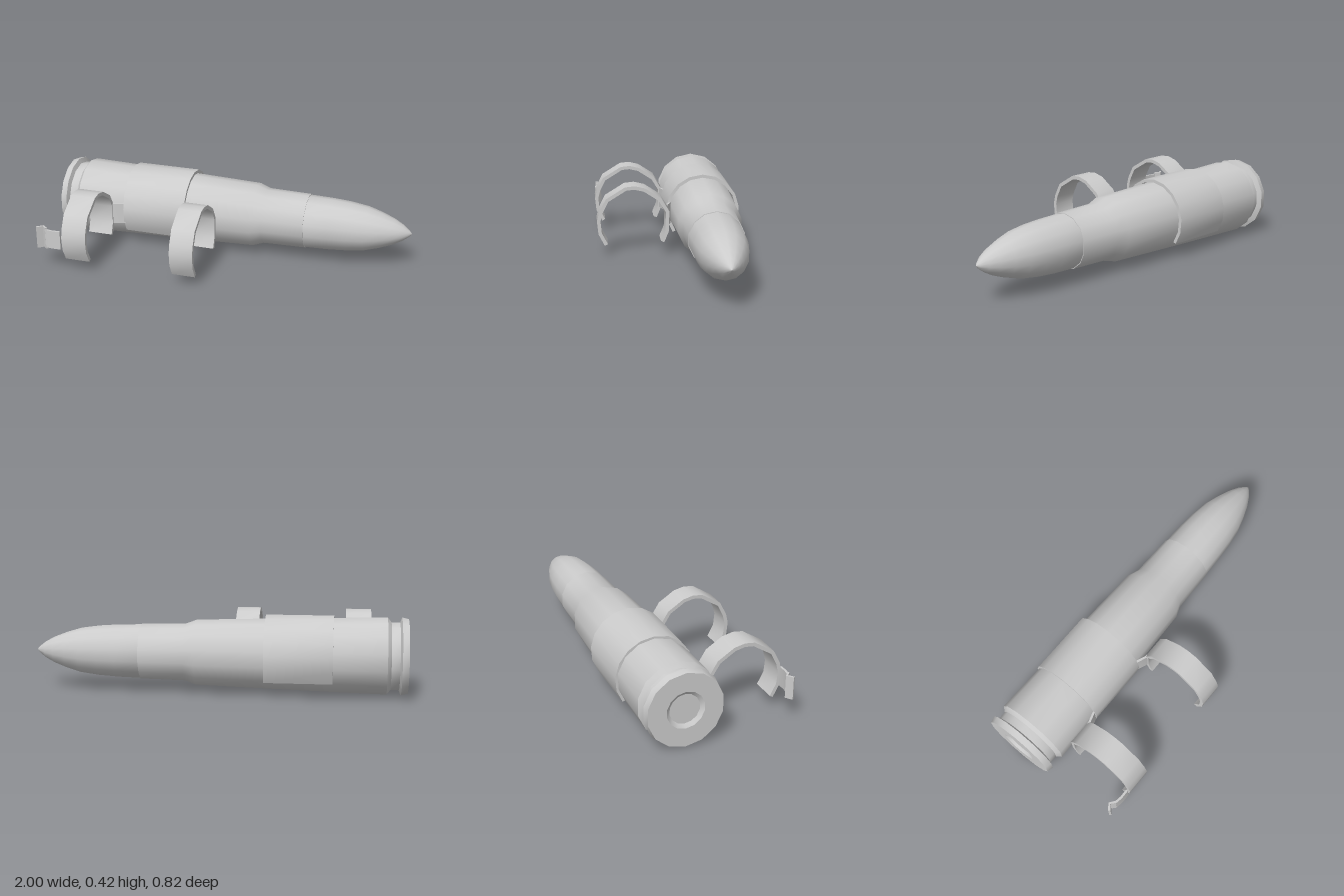
import * as THREE from 'three';
import { toCreasedNormals } from 'three/addons/utils/BufferGeometryUtils.js';

const AXIS_Y = 0.208, AXIS_Z = -0.205, SIDES = 14;
const material = new THREE.MeshStandardMaterial({ color: 0xcccccc, side: THREE.DoubleSide });

function part(name, geometry, crease = 0.6) {
  const mesh = new THREE.Mesh(toCreasedNormals(geometry, crease), material);
  mesh.name = name;
  return mesh;
}

// Turned part along x from [x, radius] pairs
function turned(name, profile) {
  const g = new THREE.LatheGeometry(profile.map(([x, r]) => new THREE.Vector2(r, x)), SIDES);
  g.rotateZ(-Math.PI / 2);
  g.rotateX(Math.PI / SIDES);
  g.translate(0, AXIS_Y, AXIS_Z);
  return part(name, g);
}

// Closed outline of a polyline given a thickness
function bandShape(points, thickness) {
  const p = points.map(([a, b]) => new THREE.Vector2(a, b));
  const side = (s) => p.map((v, i) => {
    const t = p[Math.min(i + 1, p.length - 1)].clone().sub(p[Math.max(i - 1, 0)]).normalize();
    return new THREE.Vector2(v.x - t.y * s * thickness / 2, v.y + t.x * s * thickness / 2);
  });
  return new THREE.Shape([...side(1), ...side(-1).reverse()]);
}

// Bent sheet following [z, y] points, spanning x0..x1
function band(name, points, thickness, x0, x1) {
  const shape = bandShape(points.map(([z, y]) => [-z, y]), thickness);
  const g = new THREE.ExtrudeGeometry(shape, { depth: x1 - x0, bevelEnabled: false });
  g.rotateY(Math.PI / 2);
  g.translate(x0, 0, 0);
  return part(name, g, 0.7);
}

// Bent sheet following [x, z] points, spanning y0..y1
function upright(name, points, thickness, y0, y1) {
  const shape = bandShape(points.map(([x, z]) => [x, -z]), thickness);
  const g = new THREE.ExtrudeGeometry(shape, { depth: y1 - y0, bevelEnabled: false });
  g.rotateX(-Math.PI / 2);
  g.translate(0, y0, 0);
  return part(name, g);
}

export function createModel() {
  const model = new THREE.Group();
  model.name = 'cartridgeWithClips';

  // Cartridge: rimmed case with shoulder and neck, then pointed tip
  model.add(turned('case', [
    [-0.985, 0], [-0.985, 0.08], [-1, 0.1], [-1, 0.2], [-0.965, 0.208], [-0.955, 0.18],
    [-0.91, 0.182], [-0.89, 0.207], [-0.6, 0.2], [-0.25, 0.19], [0.12, 0.178],
    [0.18, 0.156], [0.42, 0.151], [0.42, 0.13],
  ]));
  model.add(turned('tip', [
    [0.38, 0.13], [0.4, 0.148], [0.55, 0.144], [0.65, 0.137], [0.75, 0.123],
    [0.83, 0.099], [0.9, 0.072], [0.95, 0.045], [0.985, 0.018], [1, 0],
  ]));

  // Sleeve wrapped over the case, open underneath
  const wrap = [];
  for (let i = 0; i <= 12; i++) {
    const a = THREE.MathUtils.degToRad(-36 + i * 252 / 12);
    wrap.push([AXIS_Z + 0.203 * Math.cos(a), AXIS_Y + 0.203 * Math.sin(a)]);
  }
  model.add(band('sleeve', wrap, 0.018, -0.61, -0.25));

  // Two open C-shaped clips with flared ends
  const clip = [
    [0.04, 0.078], [0.014, 0.14], [0.012, 0.25], [0.055, 0.32], [0.14, 0.375], [0.195, 0.388],
    [0.245, 0.383], [0.35, 0.318], [0.385, 0.25], [0.397, 0.2], [0.39, 0.13], [0.356, 0.065],
  ];
  model.add(band('rearClip', clip, 0.02, -0.81, -0.67));
  model.add(band('frontClip', clip, 0.02, -0.19, -0.06));

  // Short arms joining clips to sleeve
  model.add(upright('rearArm', [[-0.68, 0.01], [-0.665, 0.008], [-0.6, -0.012]], 0.012, 0.14, 0.26));
  model.add(upright('frontArm', [[-0.26, -0.018], [-0.195, 0.008], [-0.18, 0.01]], 0.012, 0.14, 0.26));

  // Pull tab with a folded, wider end
  model.add(upright('tabNeck', [[-0.82, 0.396], [-0.87, 0.397], [-0.91, 0.39]], 0.012, 0.13, 0.235));
  model.add(upright('tabEnd', [[-0.905, 0.392], [-0.932, 0.37], [-0.962, 0.395]], 0.012, 0.12, 0.245));
  return model;
}
